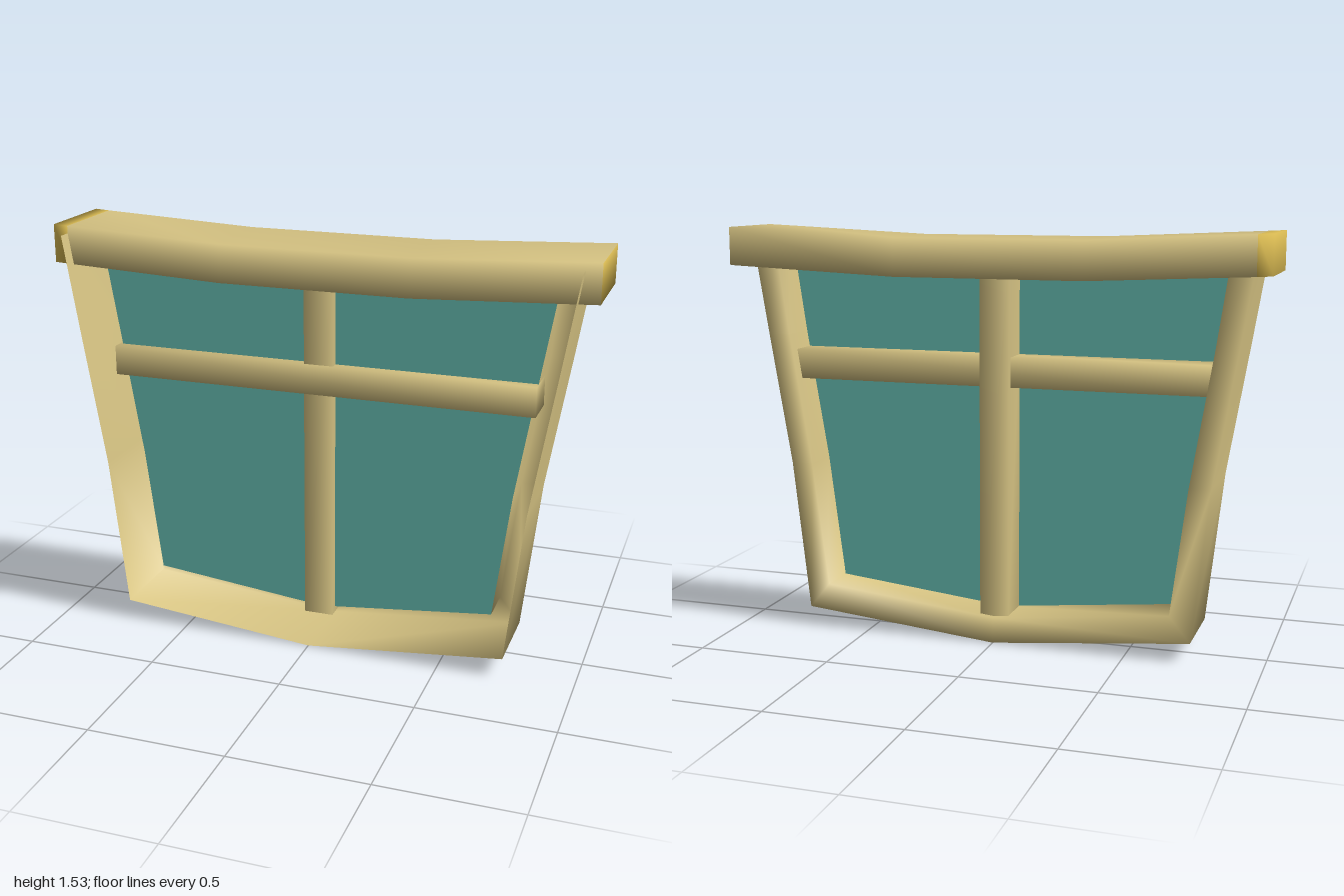
import * as THREE from 'three';

const wood = new THREE.MeshStandardMaterial({ color: 0xd8c584, side: THREE.DoubleSide });
wood.name = 'pale wood';
const gold = new THREE.MeshStandardMaterial({ color: 0xe0c055 });
gold.name = 'golden end grain';
const glassMat = new THREE.MeshStandardMaterial({ color: 0x70d0c3, side: THREE.DoubleSide });
glassMat.name = 'teal glass';

function indexed(points, index) {
  const g = new THREE.BufferGeometry();
  g.setAttribute('position', new THREE.Float32BufferAttribute(points.flat(), 3));
  g.setIndex(index);
  g.computeVertexNormals();
  return g;
}

// Rectangular timber along x with softly shaded shared corners.
// stations: [x, yBottom, yTop]; the first goldSegments and both caps use material 1
function timber(stations, zBack, zFront, goldSegments = 0) {
  const points = [], plain = [], ends = [];
  stations.forEach(([x, lo, hi]) =>
    points.push([x, hi, zBack], [x, hi, zFront], [x, lo, zFront], [x, lo, zBack]));
  for (let i = 0; i < stations.length - 1; i++) {
    for (let k = 0; k < 4; k++) {
      const a = i * 4 + k, b = i * 4 + (k + 1) % 4;
      (i < goldSegments ? ends : plain).push(a, b, b + 4, a, b + 4, a + 4);
    }
  }
  const n = (stations.length - 1) * 4;
  ends.push(0, 2, 1, 0, 3, 2, n, n + 1, n + 2, n, n + 2, n + 3);
  const g = indexed(points, [...plain, ...ends]);
  g.addGroup(0, plain.length, 0);
  g.addGroup(plain.length, ends.length, 1);
  return g;
}

// Open U-shaped outline, mirrored from its right half (top to bottom centre)
const mirrored = half => [
  ...half.map(([x, y]) => [-x, y]),
  ...half.slice(0, -1).reverse(),
];

export function createModel() {
  const model = new THREE.Group();
  model.name = 'window';
  const add = (name, geometry, material) => {
    const mesh = new THREE.Mesh(geometry, material);
    mesh.name = name;
    model.add(mesh);
    return mesh;
  };

  const outer = mirrored([[0.945, 1.5], [0.885, 1.13], [0.803, 0.64], [0.74, 0.075], [0, 0.003]]);
  const inner = mirrored([[0.857, 1.5], [0.803, 1.13], [0.722, 0.64], [0.662, 0.17], [0, 0.1]]);
  const glassZ = 0.04, backZ = -0.115, frontZ = 0.19;

  // Frame: outer wall, back flange and inner return up to the glass
  const points = [], index = [];
  outer.forEach(([x, y], i) => {
    const [u, v] = inner[i];
    points.push([x, y, frontZ], [x, y, backZ], [u, v, backZ], [u, v, glassZ]);
    if (i === outer.length - 1) return;
    for (let r = 0; r < 3; r++) {
      const a = i * 4 + r;
      index.push(a, a + 1, a + 5, a, a + 5, a + 4);
    }
  });
  add('frame', indexed(points, index), wood);

  // Glass pane
  const pane = new THREE.Shape(inner.map(([x, y]) => new THREE.Vector2(x, Math.min(y, 1.45))));
  add('glass', new THREE.ShapeGeometry(pane).translate(0, 0, glassZ), glassMat);

  // Sagging top beam with golden ends
  add('lintel', timber([
    [-1, 1.39, 1.53], [-0.945, 1.387, 1.527], [-0.35, 1.36, 1.5], [0.35, 1.36, 1.5], [1, 1.39, 1.53],
  ], -0.19, 0.14, 1), [wood, gold]);

  // Crossing bars
  add('horizontalBar', timber([[-0.805, 0.96, 1.07], [0.795, 0.96, 1.07]], -0.07, 0.08), [wood, wood]);
  const upright = timber([[0.083, -0.055, 0.055], [1.42, -0.055, 0.055]], -0.095, 0.07);
  add('verticalBar', upright.rotateZ(Math.PI / 2), [wood, wood]);

  return model;
}
